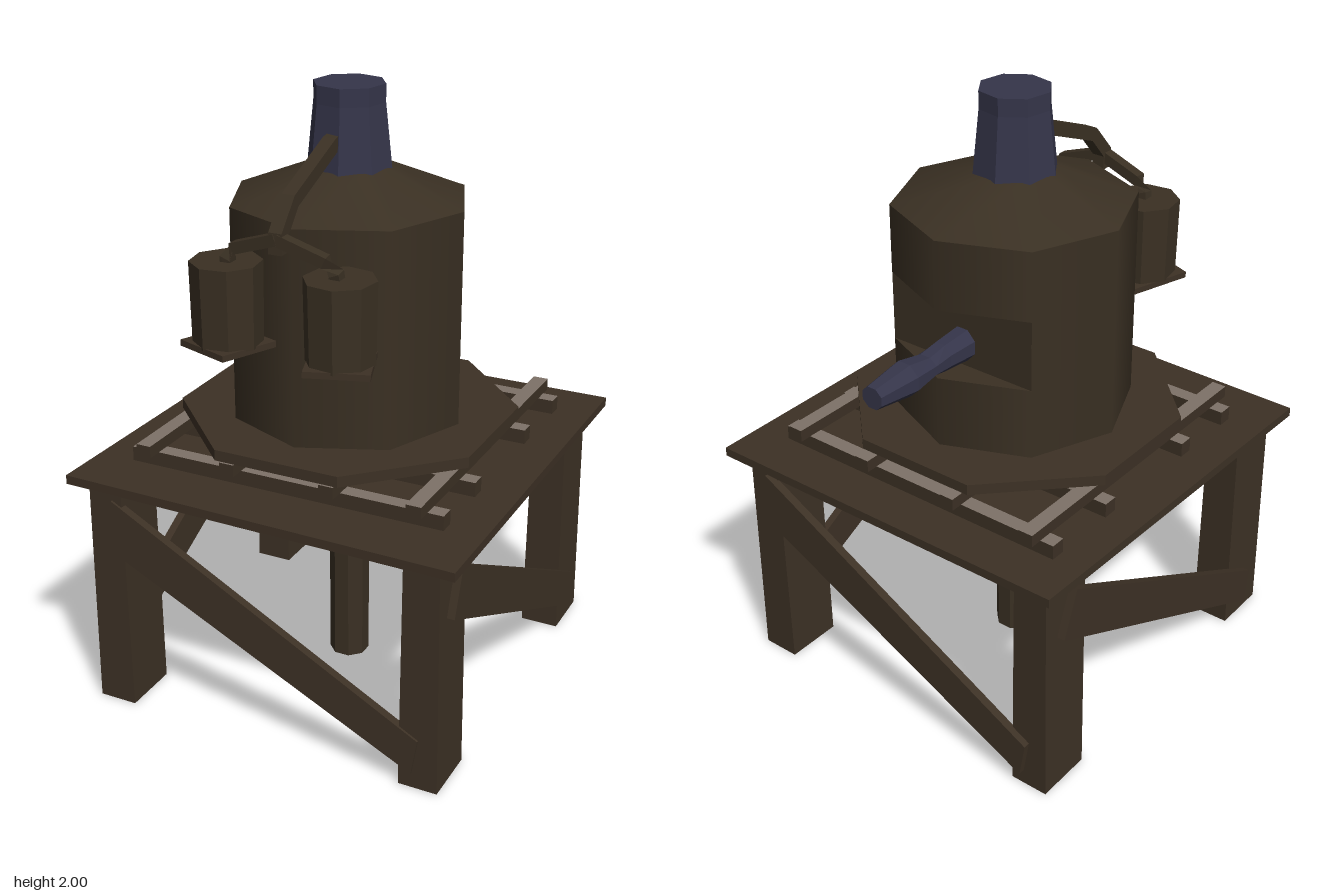
import * as THREE from 'three';

const mat = (name, color, extra = {}) => {
  const m = new THREE.MeshStandardMaterial({ color, ...extra });
  m.name = name;
  return m;
};

export function createModel() {
  const root = new THREE.Group();
  root.name = 'waterTower';
  const wood = mat('dark wood', 0x3d3125, { flatShading: true });
  const worn = mat('worn grey wood', 0x7d7268, { flatShading: true });
  const tankMat = mat('tank brown', 0x3a3023);
  const pipeMat = mat('pipe brown', 0x3a3023, { flatShading: true });
  const steel = mat('blue steel', 0x35354a, { flatShading: true });

  const add = (name, geo, material, x = 0, y = 0, z = 0, parent = root) => {
    const m = new THREE.Mesh(geo, material);
    m.name = name;
    m.position.set(x, y, z);
    parent.add(m);
    return m;
  };
  const extrude = (pts, depth) => new THREE.ExtrudeGeometry(
    new THREE.Shape(pts.map(p => new THREE.Vector2(...p))), { depth, bevelEnabled: false });

  // Closed loft through rings of points
  const loft = rings => {
    const n = rings[0].length, pos = [], idx = [];
    rings.forEach(r => r.forEach(p => pos.push(...p)));
    for (let i = 0; i < rings.length - 1; i++) {
      for (let j = 0; j < n; j++) {
        const a = i * n + j, b = i * n + (j + 1) % n;
        idx.push(a, b, a + n, b, b + n, a + n);
      }
    }
    const end = (rings.length - 1) * n;
    for (let j = 1; j < n - 1; j++) idx.push(0, j + 1, j, end, end + j, end + j + 1);
    const g = new THREE.BufferGeometry();
    g.setAttribute('position', new THREE.Float32BufferAttribute(pos, 3));
    g.setIndex(idx);
    g.computeVertexNormals();
    return g;
  };

  // Square-section pipe made of straight pieces
  const pipe = (name, pts, w) => {
    const v = pts.map(p => new THREE.Vector3(...p));
    const path = new THREE.CurvePath();
    for (let i = 1; i < v.length; i++) path.add(new THREE.LineCurve3(v[i - 1], v[i]));
    const frames = v.map((p, i) => {
      const t = v[Math.min(i + 1, v.length - 1)].clone().sub(v[Math.max(i - 1, 0)]).normalize();
      const ref = Math.abs(t.x) > 0.7 ? new THREE.Vector3(0, 0, 1) : new THREE.Vector3(1, 0, 0);
      const s = ref.addScaledVector(t, -ref.dot(t)).normalize();
      const u = t.clone().cross(s);
      return [[1, 1], [-1, 1], [-1, -1], [1, -1]].map(([a, b]) =>
        p.clone().addScaledVector(s, a * w).addScaledVector(u, b * w).toArray());
    });
    return add(name, loft(frames), pipeMat);
  };

  // Legs, slightly narrower at the top
  for (const sx of [-1, 1]) {
    for (const sz of [-1, 1]) {
      const g = new THREE.BoxGeometry(0.13, 0.78, 0.195);
      const p = g.attributes.position;
      for (let i = 0; i < p.count; i++) {
        if (p.getY(i) > 0) p.setX(i, p.getX(i) * 0.9);
      }
      add('leg', g, wood, sx * 0.545, 0.39, sz * 0.538);
    }
  }

  // One diagonal plank on each side
  const plank = [[-0.52, 0.746], [-0.58, 0.59], [0.525, 0.053], [0.545, 0.175]];
  [0.615, 0.602, 0.63, 0.605].forEach((offset, i) => {
    const side = new THREE.Group();
    side.name = 'braceSide';
    side.rotation.y = i * Math.PI / 2;
    root.add(side);
    add('diagonalBrace', extrude(plank, 0.028), wood, 0, 0, offset, side);
  });

  // Deck, a little out of square
  const deck = extrude([[-0.673, -0.66], [0.67, -0.687], [0.665, 0.687], [-0.647, 0.68]], 0.03);
  deck.rotateX(-Math.PI / 2);
  add('deck', deck, wood, 0, 0.782, 0);

  // Feed pipe below the tank
  add('feedPipe', new THREE.CylinderGeometry(0.067, 0.067, 0.92, 8).rotateY(Math.PI / 8), pipeMat, 0, 0.46, 0);

  // Two layers of bearers with worn tops
  const bearer = [wood, wood, worn, wood, wood, wood];
  for (const z of [0.447, 0.203, -0.225, -0.495]) {
    add('lowerBearer', new THREE.BoxGeometry(1.085, 0.05, 0.05), bearer, 0, 0.835, z);
  }
  for (const x of [-0.47, -0.168, 0.176, 0.465]) {
    add('upperBearer', new THREE.BoxGeometry(0.05, 0.04, 1.08), bearer, x, 0.879, -0.02);
  }

  // Octagonal base under the tank
  add('tankBase', new THREE.CylinderGeometry(0.555, 0.555, 0.036, 8).rotateY(Math.PI / 8), wood, 0, 0.917, 0);

  // Tank in three bands, the middle one open at the back
  const R = 0.388;
  add('tankLower', new THREE.CylinderGeometry(R, R, 0.24, 8), tankMat, 0, 1.055, 0);
  add('tankMiddle', new THREE.CylinderGeometry(R, R, 0.235, 6, 1, true, Math.PI * 1.25, Math.PI * 1.5),
    tankMat, 0, 1.2925, 0);
  add('tankUpper', new THREE.CylinderGeometry(R, R, 0.23, 8), tankMat, 0, 1.525, 0);
  add('hatchWall', new THREE.PlaneGeometry(0.548, 0.235).rotateY(Math.PI), tankMat, 0, 1.2925, -0.274);
  add('tankRoof', new THREE.CylinderGeometry(0.13, R, 0.105, 8, 1, true), tankMat, 0, 1.692, 0);

  // Chimney and its cap
  add('chimney', new THREE.CylinderGeometry(0.115, 0.137, 0.21, 8).rotateY(0.2), steel, 0, 1.838, 0);
  add('chimneyCap', new THREE.CylinderGeometry(0.115, 0.115, 0.058, 8).rotateY(0.2), steel, 0, 1.971, 0);

  // Spout at the back: z, half width, half height
  const spout = [[-0.25, 0.05, 0.055], [-0.38, 0.043, 0.045], [-0.45, 0.045, 0.034],
    [-0.545, 0.054, 0.053], [-0.69, 0.037, 0.035]];
  add('spout', loft(spout.map(([z, w, h]) => Array.from({ length: 8 }, (_, i) => {
    const a = -(i + 0.5) * Math.PI / 4;
    return [-0.007 + w * 1.08 * Math.cos(a), 1.25 + h * 1.08 * Math.sin(a), z];
  }))), steel);

  // Bent pipe from the chimney
  pipe('bentPipe', [[0, 1.845, 0.08], [0, 1.835, 0.13], [0, 1.73, 0.39], [0, 1.645, 0.465], [0, 1.59, 0.465]], 0.022);

  // Two canisters with trays and branch pipes
  for (const s of [-1, 1]) {
    const x = s * 0.19;
    pipe('branchPipe', [[0, 1.635, 0.47], [s * 0.15, 1.585, 0.46], [s * 0.18, 1.55, 0.45], [s * 0.185, 1.5, 0.445]], 0.018);
    add('canister', new THREE.CylinderGeometry(0.112, 0.108, 0.26, 8).rotateY(0.25 * s), pipeMat, x, 1.405, 0.445);
    const tray = add('canisterTray', new THREE.BoxGeometry(0.2, 0.02, 0.21), wood, x, 1.269, 0.445);
    tray.rotation.set(-0.04, s * 0.35, 0);
  }
  return root;
}
